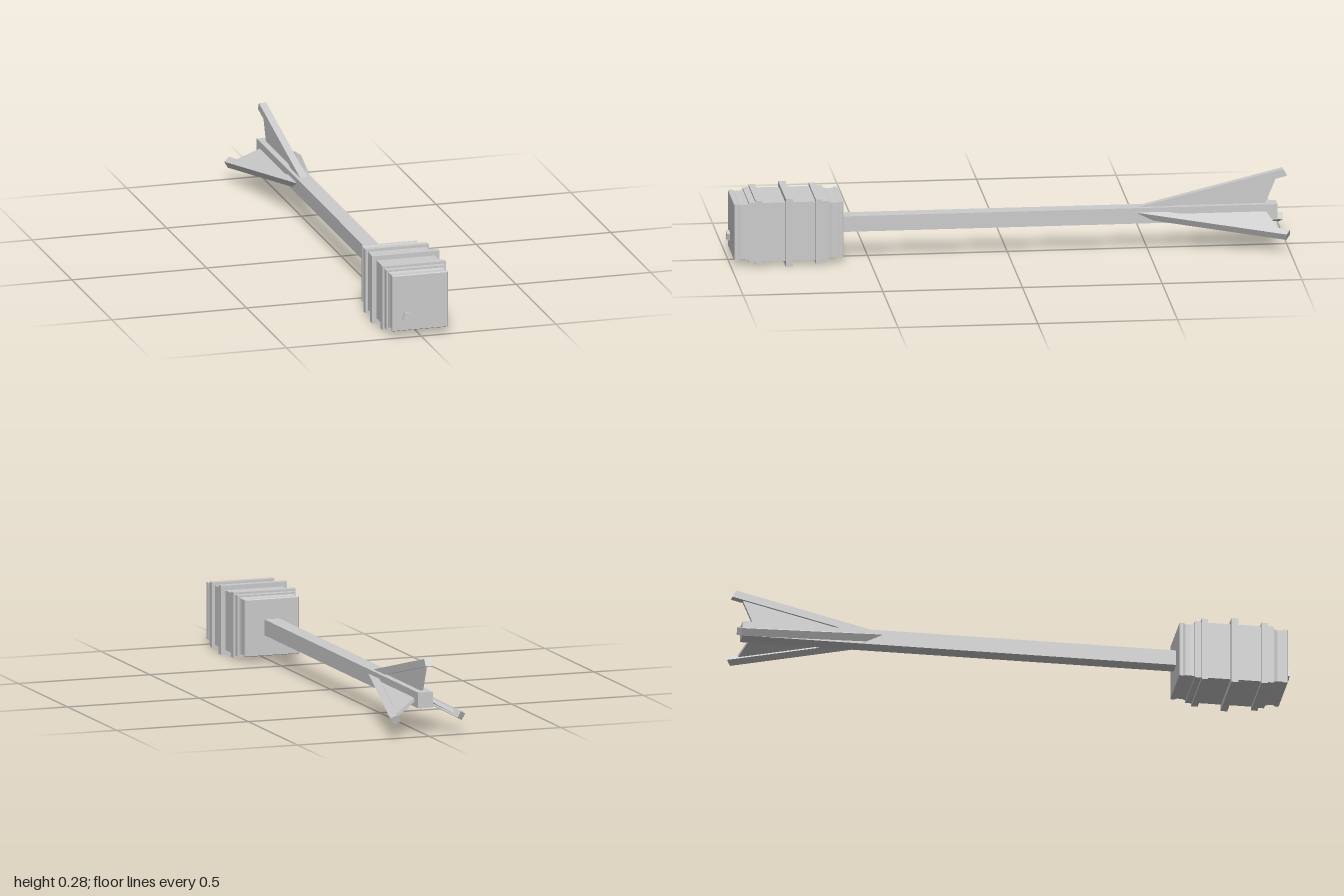
import * as THREE from 'three';

const AXIS_Y = 0.125;

export function createModel() {
  const model = new THREE.Group();
  const mat = new THREE.MeshStandardMaterial({ color: 0xcccccc, flatShading: true });
  const add = (parent, name, geo) => {
    const mesh = new THREE.Mesh(geo, mat);
    mesh.name = name;
    parent.add(mesh);
    return mesh;
  };

  // Square head with stepped bands: [half width, z] turned with four sides
  const profile = [
    [0, 0.597], [0.101, 0.597], [0.1035, 0.601], [0.1035, 0.61], [0.1, 0.62],
    [0.1, 0.638], [0.1035, 0.652],
    [0.11, 0.652], [0.11, 0.675], [0.118, 0.675], [0.118, 0.698], [0.108, 0.698],
    [0.108, 0.781], [0.125, 0.781], [0.125, 0.806], [0.108, 0.806],
    [0.108, 0.89], [0.118, 0.89], [0.118, 0.913], [0.11, 0.913], [0.11, 0.936],
    [0.1035, 0.936], [0.1, 0.95], [0.1, 0.966], [0.1035, 0.976], [0.1035, 0.984],
    [0.101, 0.988], [0, 0.988],
  ].map(([h, z]) => new THREE.Vector2(h * Math.SQRT2, z));
  const headGeo = new THREE.LatheGeometry(profile, 4);
  headGeo.rotateY(Math.PI / 4).rotateX(Math.PI / 2);
  add(model, 'head', headGeo).position.y = AXIS_Y;

  // Small tilted stud on the head's face
  const stud = add(model, 'stud', new THREE.BoxGeometry(0.028, 0.028, 0.03));
  stud.position.set(-0.05, 0.075, 0.985);
  stud.rotation.z = -Math.PI / 12;

  // Long square shaft
  const shaft = add(model, 'shaft', new THREE.BoxGeometry(0.057, 0.057, 1.585));
  shaft.position.set(0, AXIS_Y, -0.1725);

  // Flat plate outlined by [distance back, radius], centred on x
  const plate = (points, width) => {
    const shape = new THREE.Shape(points.map(([s, r]) => new THREE.Vector2(s, r)));
    const geo = new THREE.ExtrudeGeometry(shape, { depth: width, bevelEnabled: false });
    return geo.translate(0, 0, -width / 2).rotateY(Math.PI / 2);
  };

  // Three flared fins: a rod along the outer edge and a thin web below it
  const addFin = (name, angle, pivotY, tip) => {
    const fin = new THREE.Group();
    fin.name = name;
    fin.position.y = pivotY;
    fin.rotation.z = angle;
    add(fin, 'finRod', plate(
      [[0.465, 0.027], [0.5, 0.008], [1, tip - 0.025], [0.985, tip]], 0.027));
    add(fin, 'finWeb', plate(
      [[0.48, 0.02], [0.92, 0.02], [0.965, tip - 0.025]], 0.012));
    model.add(fin);
  };
  addFin('topFin', 0, AXIS_Y, 0.153);
  for (const side of [-1, 1]) {
    addFin(side < 0 ? 'leftFin' : 'rightFin', side * Math.PI * 2 / 3, 0.138, 0.157);
  }
  return model;
}
